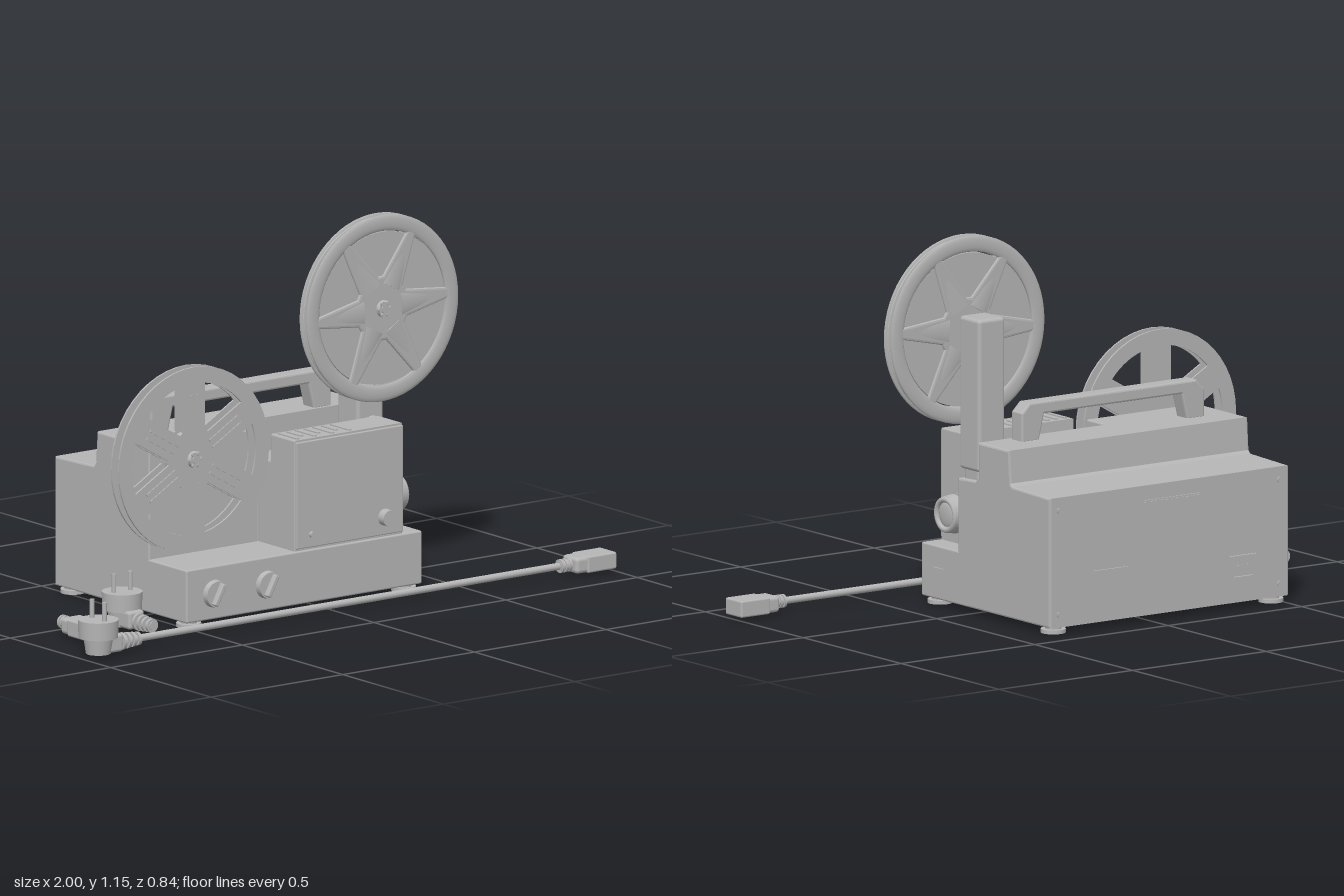
import * as THREE from 'three';
import { RoundedBoxGeometry } from 'three/addons/geometries/RoundedBoxGeometry.js';

const grey = new THREE.MeshStandardMaterial({ color: 0xb6b6b6 });
grey.name = 'greyPlastic';

function add(parent, name, geometry, x = 0, y = 0, z = 0) {
  const mesh = new THREE.Mesh(geometry, grey);
  mesh.name = name;
  mesh.position.set(x, y, z);
  parent.add(mesh);
  return mesh;
}

// Box given by its limits, optionally rounded
function box(parent, name, [x0, x1], [y0, y1], [z0, z1], r = 0) {
  const s = [x1 - x0, y1 - y0, z1 - z0];
  const g = r ? new RoundedBoxGeometry(...s, 2, r) : new THREE.BoxGeometry(...s);
  return add(parent, name, g, (x0 + x1) / 2, (y0 + y1) / 2, (z0 + z1) / 2);
}

// Cylinder along an axis; r1 is the radius at the positive end
function rod(parent, name, axis, r0, r1, len, x, y, z, sides = 32) {
  const g = new THREE.CylinderGeometry(r1, r0, len, sides);
  if (axis === 'x') g.rotateZ(-Math.PI / 2);
  if (axis === 'z') g.rotateX(Math.PI / 2);
  return add(parent, name, g, x, y, z);
}

// Side profile of [z, y] points swept from x0 to x1
function sweep(parent, name, profile, x0, x1, b = 0.006) {
  const shape = new THREE.Shape(profile.map(([z, y]) => new THREE.Vector2(-z, y)));
  const g = new THREE.ExtrudeGeometry(shape, {
    depth: x1 - x0 - 2 * b, bevelSize: b, bevelThickness: b, bevelOffset: -b, bevelSegments: 2,
  });
  g.rotateY(Math.PI / 2);
  return add(parent, name, g, x0 + b, 0, 0);
}

// Flat wheel with six openings between spokes; half widths wi (inner) and wo (outer)
function flange(radius, ri, ro, wi, wo, first, depth, bevel) {
  const shape = new THREE.Shape().absarc(0, 0, radius, 0, Math.PI * 2);
  for (let i = 0; i < 6; i++) {
    const a = first + i * Math.PI / 3, b = a + Math.PI / 3;
    const ai = Math.asin(wi / ri), ao = Math.asin(wo / ro);
    const hole = new THREE.Path();
    hole.absarc(0, 0, ro, a + ao, b - ao, false);
    hole.absarc(0, 0, ri, b - ai, a + ai, true);
    hole.closePath();
    shape.holes.push(hole);
  }
  return new THREE.ExtrudeGeometry(shape, {
    depth, curveSegments: 24, bevelEnabled: bevel > 0,
    bevelSize: bevel, bevelThickness: bevel / 2, bevelOffset: -bevel, bevelSegments: 2,
  });
}

function spindle(parent) {
  rod(parent, 'spindle', 'z', 0.014, 0.014, 0.07, 0, 0, 0, 16);
  rod(parent, 'hubCap', 'z', 0.026, 0.022, 0.01, 0, 0, 0.026, 24);
  for (let i = 0; i < 6; i++) {
    const a = i * Math.PI / 3;
    rod(parent, 'spindleTooth', 'z', 0.007, 0.007, 0.008, 0.02 * Math.cos(a), 0.02 * Math.sin(a), 0.032, 10);
  }
}

// Mains plug with its cord leaving along +x
function makePlug(name) {
  const g = new THREE.Group();
  g.name = name;
  rod(g, 'plugDisc', 'y', 0.06, 0.062, 0.055, 0, 0.0875, 0);
  rod(g, 'plugBody', 'y', 0.038, 0.046, 0.053, 0, 0.0365, 0, 24);
  box(g, 'plugNeck', [0, 0.075], [0.01, 0.066], [-0.03, 0.03], 0.01);
  for (const s of [-1, 1]) rod(g, 'plugPin', 'y', 0.007, 0.007, 0.065, 0, 0.14, 0.031 * s, 12);
  rod(g, 'strainRelief', 'x', 0.018, 0.013, 0.1, 0.105, 0.035, 0, 16);
  for (let i = 0; i < 4; i++) {
    const r = 0.027 - i * 0.002;
    rod(g, 'strainRib', 'x', r, r, 0.01, 0.087 + i * 0.02, 0.035, 0, 16);
  }
  return g;
}

// Appliance connector with its socket end towards +x
function makeConnector(name) {
  const g = new THREE.Group();
  g.name = name;
  rod(g, 'connectorNeck', 'x', 0.015, 0.022, 0.06, 0.03, 0, 0, 16);
  for (let i = 0; i < 3; i++) rod(g, 'neckRib', 'x', 0.021, 0.021, 0.008, 0.006 + i * 0.014, 0, 0, 16);
  box(g, 'connectorShoulder', [0.04, 0.14], [-0.025, 0.025], [-0.038, 0.038], 0.012);
  box(g, 'connectorHead', [0.08, 0.19], [-0.026, 0.026], [-0.042, 0.042], 0.006);
  return g;
}

export function createModel() {
  const model = new THREE.Group();
  model.name = 'filmProjector';

  // Casing: stepped rear, tall wall at one end, recess behind the mechanism
  sweep(model, 'casingRear', [[-0.048, 0.02], [-0.048, 0.535], [-0.205, 0.535], [-0.212, 0.435],
    [-0.222, 0.426], [-0.414, 0.42], [-0.414, 0.02]], -0.515, 0.38);
  box(model, 'casingTall', [-0.515, -0.1], [0.02, 0.535], [-0.06, 0.055], 0.006);
  sweep(model, 'recessFloor',
    [[0.055, 0.02], [0.055, 0.41], [-0.035, 0.415], [-0.047, 0.43], [-0.06, 0.43], [-0.06, 0.02]], -0.11, 0.38);
  box(model, 'base', [-0.515, 0.38], [0.02, 0.185], [0.0, 0.242], 0.006);

  // Mechanism housing, lower at the rear where the film passes
  sweep(model, 'mechanismHousing',
    [[0.236, 0.18], [0.236, 0.528], [0.117, 0.528], [0.114, 0.445], [0.05, 0.445], [0.05, 0.18]], -0.1, 0.31, 0.004);
  box(model, 'mechanismDoor', [-0.097, 0.307], [0.192, 0.522], [0.23, 0.243], 0.003);
  for (let i = 0; i < 7; i++) {
    const x = -0.085 + i * 0.033;
    box(model, 'coolingRib', [x, x + 0.012], [0.526, 0.532], [0.13, i % 2 ? 0.2 : 0.225]);
  }

  // Carrying handle
  const grip = new THREE.Shape([[-0.42, 0.53], [-0.42, 0.62], [-0.39, 0.65], [0.235, 0.65], [0.265, 0.62],
    [0.265, 0.53], [0.2, 0.53], [0.18, 0.612], [-0.335, 0.612], [-0.355, 0.53]].map(p => new THREE.Vector2(...p)));
  add(model, 'handle', new THREE.ExtrudeGeometry(grip, {
    depth: 0.043, bevelSize: 0.006, bevelThickness: 0.006, bevelOffset: -0.006, bevelSegments: 2,
  }), 0, 0, -0.109);

  // Reel arm and its pivot
  box(model, 'reelArm', [0.275, 0.375], [0.44, 0.91], [-0.046, 0.058], 0.012);
  box(model, 'armHinge', [0.285, 0.365], [0.4, 0.46], [-0.03, 0.045], 0.01);
  rod(model, 'armPivot', 'z', 0.026, 0.022, 0.025, 0.33, 0.49, 0.065);

  // Lens pointing sideways
  [[0.06, 0.06, 0.02, 0.318], [0.05, 0.05, 0.025, 0.335], [0.06, 0.056, 0.03, 0.357]].forEach(([a, b, l, x]) =>
    rod(model, 'lensBarrel', 'x', a, b, l, x, 0.285, 0.125, 32));
  const ring = add(model, 'lensRim', new THREE.TorusGeometry(0.047, 0.009, 10, 32), 0.373, 0.285, 0.125);
  ring.rotation.y = Math.PI / 2;
  add(model, 'lensGlass', new THREE.SphereGeometry(0.038, 24, 12), 0.37, 0.285, 0.125).scale.x = 0.2;

  // Open take-up reel
  const takeUp = new THREE.Group();
  takeUp.name = 'takeUpReel';
  takeUp.position.set(-0.39, 0.49, 0.094);
  for (const z of [-0.021, 0.015]) {
    add(takeUp, 'reelFlange', flange(0.285, 0.095, 0.235, 0.042, 0.042, Math.PI / 6, 0.006, 0), 0, 0, z);
  }
  rod(takeUp, 'reelCore', 'z', 0.085, 0.085, 0.034, 0, 0, 0);
  for (let i = 0; i < 6; i++) {
    for (const s of [-1, 1]) {
      const rib = box(takeUp, 'spokeRib', [0.075, 0.2], [s * 0.013 - 0.004, s * 0.013 + 0.004], [0.02, 0.024]);
      const a = Math.PI / 6 + i * Math.PI / 3;
      rib.position.applyAxisAngle(new THREE.Vector3(0, 0, 1), a);
      rib.rotation.z = a;
    }
  }
  spindle(takeUp);
  rod(takeUp, 'reelAxle', 'z', 0.02, 0.02, 0.06, 0, 0, -0.035, 20);
  model.add(takeUp);

  // Filled supply reel with rounded rims and tapered, ridged spokes
  const supply = new THREE.Group();
  supply.name = 'supplyReel';
  supply.position.set(0.328, 0.857, 0.094);
  rod(supply, 'filmRoll', 'z', 0.236, 0.236, 0.026, 0, 0, 0, 64);
  for (const s of [-1, 1]) {
    add(supply, 'reelFlange', flange(0.28, 0.1, 0.24, 0.042, 0.018, 0.06, 0.004, 0.008), 0, 0, s * 0.014 - 0.002);
    add(supply, 'reelRim', new THREE.TorusGeometry(0.264, 0.025, 12, 64), 0, 0, s * 0.016).scale.z = 0.24;
    for (let i = 0; i < 6; i++) {
      const a = 0.06 + i * Math.PI / 3;
      const ridge = rod(supply, 'spokeRidge', 'x', 0.042, 0.014, 0.18, 0.16 * Math.cos(a), 0.16 * Math.sin(a), s * 0.015, 20);
      ridge.rotation.z = a;
      ridge.scale.z = 0.2;
    }
  }
  spindle(supply);
  rod(supply, 'reelAxle', 'z', 0.02, 0.02, 0.04, 0, 0, -0.03, 20);
  model.add(supply);

  // Controls on the front
  for (const x of [-0.41, -0.21]) {
    rod(model, 'knobSkirt', 'z', 0.043, 0.04, 0.02, x, 0.1, 0.25);
    box(model, 'knobGrip', [x - 0.008, x + 0.008], [0.064, 0.136], [0.25, 0.277], 0.004).rotation.z = -0.5;
  }
  rod(model, 'doorKnob', 'z', 0.026, 0.025, 0.03, 0.237, 0.247, 0.255);
  rod(model, 'doorButton', 'z', 0.009, 0.009, 0.012, -0.042, 0.232, 0.247, 16);

  // Side socket and seam
  box(model, 'sideSocket', [0.379, 0.384], [0.092, 0.118], [0.125, 0.18]);
  box(model, 'casingSeam', [0.379, 0.382], [0.025, 0.165], [-0.128, -0.124]);

  // Back: ventilation grille, rating plate, mains inlet and screws
  box(model, 'grillePlate', [-0.18, 0.035], [0.08, 0.375], [-0.418, -0.412]);
  for (let i = 0; i < 11; i++) {
    const x = -0.175 + i * 0.0195;
    box(model, 'grilleBar', [x, x + 0.01], [0.085, 0.37], [-0.422, -0.416]);
  }
  box(model, 'ratingPlate', [0.085, 0.22], [0.11, 0.18], [-0.419, -0.412]);
  for (const [x0, x1, y0, y1] of [[-0.39, -0.29, 0.085, 0.1], [-0.39, -0.29, 0.15, 0.165],
    [-0.39, -0.375, 0.1, 0.15], [-0.305, -0.29, 0.1, 0.15]]) {
    box(model, 'inletFrame', [x0, x1], [y0, y1], [-0.422, -0.412]);
  }
  for (const x of [-0.358, -0.34, -0.322]) box(model, 'inletPin', [x - 0.003, x + 0.003], [0.115, 0.135], [-0.42, -0.412]);
  for (const x of [-0.48, 0.345]) for (const y of [0.06, 0.38]) rod(model, 'backScrew', 'z', 0.009, 0.009, 0.006, x, y, -0.415, 12);

  // Feet
  for (const x of [-0.475, 0.34]) for (const z of [0.2, -0.377]) {
    rod(model, 'foot', 'y', 0.038, 0.038, 0.012, x, 0.006, z);
    rod(model, 'footStem', 'y', 0.025, 0.025, 0.014, x, 0.016, z, 20);
  }

  // Mains lead lying in front
  const plug = makePlug('leadPlug');
  plug.position.set(-0.938, 0, 0.357);
  const connector = makeConnector('leadConnector');
  connector.position.set(0.81, 0.035, 0.357);
  rod(model, 'mainsCord', 'x', 0.011, 0.011, 1.63, 0, 0.035, 0.357, 16);

  // Loose spare plug and connector
  const sparePlug = makePlug('sparePlug');
  sparePlug.position.set(-0.65, 0, 0.098);
  const spareConnector = makeConnector('spareConnector');
  spareConnector.position.set(-0.823, 0.032, 0.025);
  sparePlug.rotation.y = spareConnector.rotation.y = -Math.PI / 2;
  model.add(plug, connector, sparePlug, spareConnector);

  return model;
}
